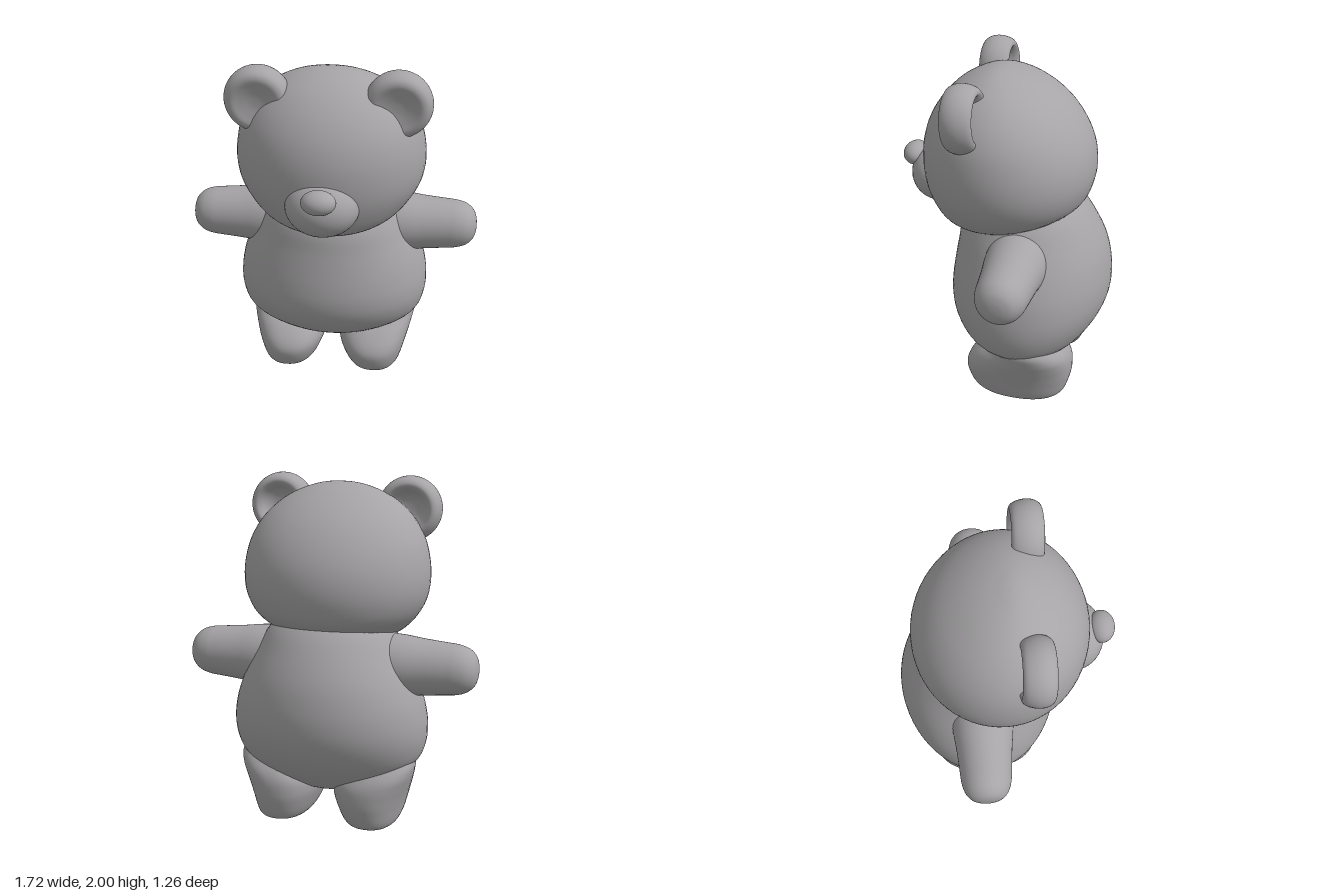
import * as THREE from 'three';

// Smooth closed form from level rings: [y, centreX, halfWidth, frontZ, backZ], listed bottom to top
function loft(rows, power = 2, steps = 48, sides = 64) {
  const spline = (pick) => new THREE.CatmullRomCurve3(
    rows.map((r) => new THREE.Vector3(...pick(r))), false, 'catmullrom', 0.5);
  const a = spline(([y, cx, w]) => [y, cx, w]);
  const b = spline((r) => [r[3], r[4], 0]);
  const round = (v) => Math.sign(v) * Math.abs(v) ** (2 / power);
  const pos = [];
  const index = [];
  for (let i = 0; i <= steps; i++) {
    const p = a.getPoint(i / steps);
    const q = b.getPoint(i / steps);
    for (let j = 0; j < sides; j++) {
      const t = (j / sides) * Math.PI * 2;
      pos.push(p.y + p.z * round(Math.sin(t)), p.x,
        (q.x + q.y) / 2 + ((q.x - q.y) / 2) * round(Math.cos(t)));
      if (i === steps) continue;
      const k = i * sides + j;
      const n = i * sides + ((j + 1) % sides);
      index.push(k, n, n + sides, k, n + sides, k + sides);
    }
  }
  const g = new THREE.BufferGeometry();
  g.setAttribute('position', new THREE.Float32BufferAttribute(pos, 3));
  g.setIndex(index);
  g.computeVertexNormals();
  return g;
}

// Smooth turned form from [radius, height] points
function turned(points) {
  const curve = new THREE.SplineCurve(points.map(([r, h]) => new THREE.Vector2(r, h)));
  const profile = curve.getPoints(48).map((p) => new THREE.Vector2(Math.max(p.x, 0), p.y));
  return new THREE.LatheGeometry(profile, 48);
}

export function createModel() {
  const model = new THREE.Group();
  model.name = 'teddyBear';
  const grey = new THREE.MeshStandardMaterial({ color: 0xa6a4a6 });
  grey.name = 'warm grey';

  const add = (name, geometry, x = 0, y = 0, z = 0) => {
    const mesh = new THREE.Mesh(geometry, grey);
    mesh.name = name;
    mesh.position.set(x, y, z);
    model.add(mesh);
    return mesh;
  };

  // Pear-shaped body, fuller at the back
  add('body', loft([
    [0.19, 0, 0, -0.17, -0.17],
    [0.2, 0, 0.15, -0.03, -0.28],
    [0.25, 0, 0.3, 0.07, -0.37],
    [0.32, 0, 0.43, 0.17, -0.455],
    [0.4, 0, 0.53, 0.25, -0.525],
    [0.5, 0, 0.568, 0.305, -0.585],
    [0.6, 0, 0.575, 0.324, -0.62],
    [0.7, 0, 0.562, 0.32, -0.63],
    [0.8, 0, 0.535, 0.306, -0.622],
    [0.92, 0, 0.485, 0.285, -0.594],
    [1.05, 0, 0.42, 0.26, -0.535],
    [1.18, 0, 0.34, 0.18, -0.45],
    [1.26, 0, 0.2, 0, -0.34],
    [1.28, 0, 0, -0.15, -0.15],
  ]));

  // Head, leaning forward at the chin
  add('head', loft([
    [1.03, 0, 0, 0.13, 0.13],
    [1.04, 0, 0.16, 0.25, 0.0],
    [1.07, 0, 0.28, 0.325, -0.16],
    [1.13, 0, 0.39, 0.395, -0.32],
    [1.22, 0, 0.475, 0.44, -0.45],
    [1.32, 0, 0.527, 0.468, -0.498],
    [1.43, 0, 0.545, 0.48, -0.512],
    [1.55, 0, 0.535, 0.474, -0.492],
    [1.67, 0, 0.5, 0.44, -0.434],
    [1.78, 0, 0.43, 0.376, -0.345],
    [1.87, 0, 0.33, 0.29, -0.23],
    [1.93, 0, 0.215, 0.195, -0.115],
    [1.962, 0, 0.1, 0.11, -0.01],
    [1.97, 0, 0, 0.05, 0.05],
  ]));

  // Muzzle and nose
  const ball = new THREE.SphereGeometry(1, 40, 28);
  add('muzzle', ball, 0, 1.295, 0.4).scale.set(0.207, 0.17, 0.175);
  add('nose', ball, 0, 1.39, 0.555).scale.set(0.096, 0.067, 0.075);

  // Ear: soft shallow dip in front, deep cup behind
  const ear = turned([
    [0, -0.005], [0.05, -0.01], [0.09, -0.035], [0.115, -0.07], [0.14, -0.088],
    [0.168, -0.07], [0.186, -0.02], [0.186, 0.03], [0.168, 0.072], [0.135, 0.088],
    [0.09, 0.078], [0.04, 0.068], [0, 0.066],
  ]);
  ear.rotateX(Math.PI / 2 + 0.06);

  // Arm: blunt rounded cylinder, widening at the shoulder
  const arm = turned([
    [0.185, 0.25], [0.178, 0.42], [0.162, 0.55], [0.15, 0.68], [0.143, 0.745],
    [0.125, 0.8], [0.09, 0.84], [0.045, 0.858], [0, 0.862],
  ]);

  // Leg rings for the left side, flat under the sole
  const legRows = [
    [0.005, 0.275, 0, -0.14, -0.14],
    [0.005, 0.275, 0.07, 0.0, -0.28],
    [0.008, 0.275, 0.13, 0.08, -0.36],
    [0.045, 0.267, 0.168, 0.145, -0.42],
    [0.14, 0.259, 0.202, 0.185, -0.452],
    [0.21, 0.26, 0.22, 0.17, -0.46],
    [0.28, 0.275, 0.225, 0.11, -0.455],
    [0.34, 0.31, 0.205, 0.03, -0.43],
    [0.4, 0.33, 0.19, -0.03, -0.38],
    [0.46, 0.33, 0.14, -0.09, -0.32],
    [0.48, 0.33, 0, -0.2, -0.2],
  ];

  for (const [side, s] of [['left', 1], ['right', -1]]) {
    add(`${side}Ear`, ear, s * 0.387, 1.812, 0.15);
    add(`${side}Arm`, arm, 0, 0.957, -0.143).rotation.z = -s * Math.PI / 2;
    add(`${side}Leg`, loft(legRows.map(([y, x, ...r]) => [y, s * x, ...r]), 2.3));
  }
  return model;
}
